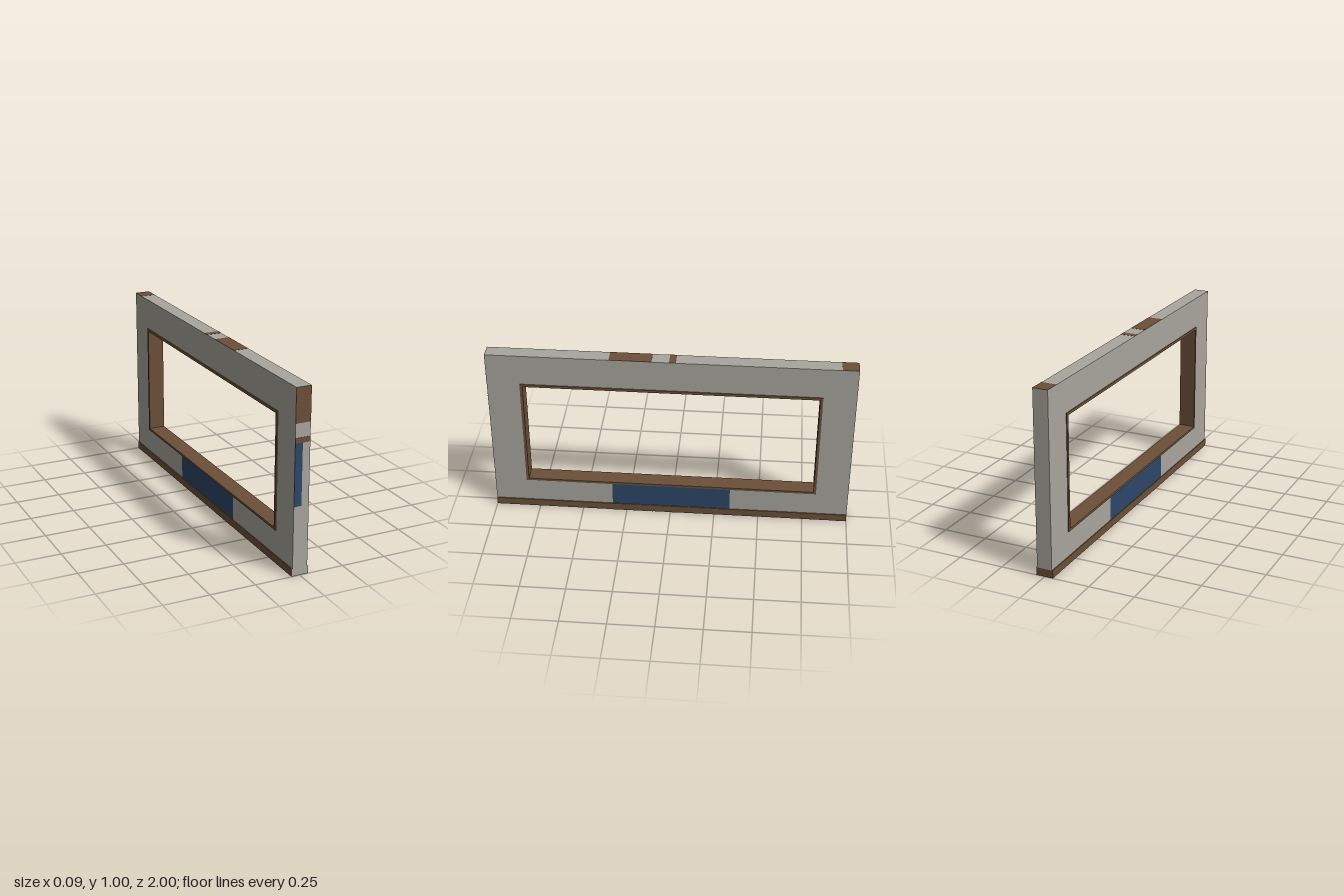
import * as THREE from 'three';

const plaster = new THREE.MeshStandardMaterial({ color: 0xa8a69d });
plaster.name = 'warm grey plaster';
const wood = new THREE.MeshStandardMaterial({ color: 0x6c5038 });
wood.name = 'brown wood';
const blue = new THREE.MeshStandardMaterial({ color: 0x2c4768 });
blue.name = 'dark blue paint';

const WALL = 0.042;   // half thickness of the wall
const TRIM = 0.047;   // half thickness of the frame and skirting
const BASE = 0.042;   // height of the skirting
const SKIN = 0.001;   // how far painted plates stand proud

// Rectangular ring in the z-y plane, extruded across x
function ring(name, outer, inner, half, material) {
  const rect = (T, [w, y0, y1]) => {
    const p = new T();
    p.moveTo(-w, y0);
    p.lineTo(w, y0);
    p.lineTo(w, y1);
    p.lineTo(-w, y1);
    p.closePath();
    return p;
  };
  const shape = rect(THREE.Shape, outer);
  shape.holes.push(rect(THREE.Path, inner));
  const geo = new THREE.ExtrudeGeometry(shape, { depth: half * 2, bevelEnabled: false });
  geo.translate(0, 0, -half).rotateY(Math.PI / 2);
  const mesh = new THREE.Mesh(geo, material);
  mesh.name = name;
  return mesh;
}

// Box given by its limits on each axis
function box(name, [x0, x1], [y0, y1], [z0, z1], material) {
  const mesh = new THREE.Mesh(new THREE.BoxGeometry(x1 - x0, y1 - y0, z1 - z0), material);
  mesh.position.set((x0 + x1) / 2, (y0 + y1) / 2, (z0 + z1) / 2);
  mesh.name = name;
  return mesh;
}

export function createModel() {
  const model = new THREE.Group();
  model.name = 'windowWall';

  // Wall with its opening, and the frame lining that opening
  model.add(ring('wall', [1, BASE, 1], [0.812, 0.185, 0.817], WALL, plaster));
  model.add(ring('windowFrame', [0.82, 0.18, 0.824], [0.805, 0.193, 0.809], TRIM, wood));

  // Skirting: wooden sides and back end, plaster front end and underside
  model.add(box('skirting', [-TRIM, TRIM], [0, BASE], [-1, 1],
    [wood, wood, wood, plaster, plaster, wood]));

  // Blue panels under the window on both faces
  for (const s of [-1, 1]) {
    const x = [s * WALL - SKIN, s * WALL + SKIN];
    model.add(box('bluePanel', x, [BASE, 0.183], [-0.337, 0.33], blue));
  }

  // Wooden bands across the top edge and the underside
  for (const z of [[-1, -0.91], [-0.03, 0.007], [0.1, 0.33]]) {
    model.add(box('topBand', [-WALL, WALL], [1 - SKIN, 1 + SKIN], z, wood));
    model.add(box('undersideBand', [-TRIM, TRIM], [-SKIN, SKIN], z, wood));
  }

  // Painted patches on the front end
  const end = [1 - SKIN, 1 + SKIN];
  model.add(box('frontUpperBand', [-WALL, WALL], [0.815, 1], end, wood));
  model.add(box('frontNarrowBand', [-WALL, WALL], [0.712, 0.741], end, wood));
  model.add(box('frontBluePatch', [-WALL, 0], [0.378, 0.712], end, blue));

  return model;
}
